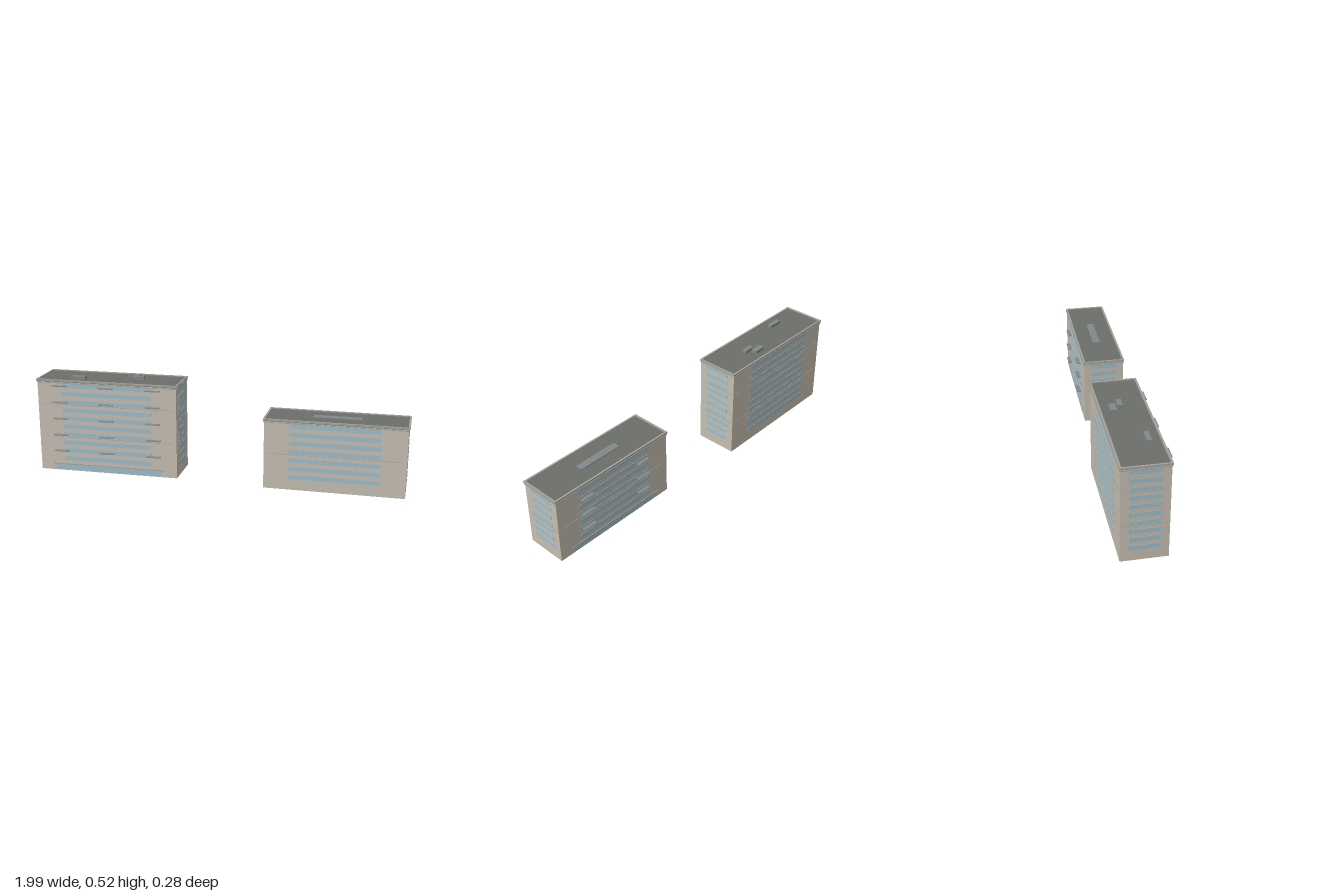
import * as THREE from 'three';

const mat = (color) => new THREE.MeshStandardMaterial({ color });
const WALL = mat(0xc6beb1), GLASS = mat(0x9dbecb), ROOF = mat(0x6c6e6a);
const TRIM = mat(0xa3a19b), SLAB = mat(0x85888a);
const FLOOR = 0.0455; // storey height

function box(parent, name, mat, w, h, d, x, y, z) {
  const mesh = new THREE.Mesh(new THREE.BoxGeometry(w, h, d), mat);
  mesh.name = name;
  mesh.position.set(x, y, z);
  parent.add(mesh);
  return mesh;
}

// Apartment block with its entrance facing local +z
function block({ name, w, d, h, floors, belts, columns, spread, balconyRows, units }) {
  const g = new THREE.Group();
  g.name = name;
  box(g, 'walls', WALL, w, h, d, 0, h / 2, 0);

  // Each facade: ribbon windows and thin belt courses
  for (let i = 0; i < 4; i++) {
    const [len, off] = i % 2 ? [d, w / 2] : [w, d / 2];
    const face = new THREE.Group();
    face.name = 'facade';
    face.rotation.y = i * Math.PI / 2;
    g.add(face);
    for (let f = 0; f < floors; f++)
      box(face, 'windowBand', GLASS, len * 0.64, 0.023, 0.003, 0, 0.071 + f * FLOOR, off);
    for (const y of belts)
      box(face, 'beltCourse', TRIM, len * 0.94, 0.002, 0.005, 0, y, off);
  }

  // Ground-floor glazing and canopy
  box(g, 'entranceGlazing', GLASS, w * 0.777, 0.031, 0.003, 0, 0.0195, d / 2);
  box(g, 'entranceCanopy', TRIM, w * 0.82, 0.004, 0.008, 0, 0.037, d / 2);

  // Balcony slabs on every second storey
  for (let r = 0; r < balconyRows; r++)
    for (let c = 0; c < columns; c++)
      box(g, 'balcony', SLAB, 0.08, 0.003, 0.024,
        (c - (columns - 1) / 2) * spread, 0.115 + r * 2 * FLOOR, d / 2 + 0.011);

  // Cornice, roof deck and parapet rim
  box(g, 'cornice', TRIM, w + 0.007, 0.004, d + 0.007, 0, h - 0.005, 0);
  box(g, 'roofDeck', ROOF, w + 0.002, 0.007, d + 0.002, 0, h + 0.0035, 0);
  const W = w + 0.012, D = d + 0.009, t = 0.01;
  for (const s of [-1, 1]) {
    box(g, 'parapet', TRIM, W, 0.009, t, 0, h + 0.0075, s * (D - t) / 2);
    box(g, 'parapet', TRIM, t, 0.009, D - 2 * t, s * (W - t) / 2, h + 0.0075, 0);
  }

  // Rooftop plant boxes
  for (const [x, z, uw, ud, top] of units)
    box(g, 'rooftopUnit', SLAB, uw, top, ud, x, h + top / 2, z);
  return g;
}

export function createModel() {
  const model = new THREE.Group();
  model.name = 'apartmentBlocks';

  const tall = block({
    name: 'tallBlock', w: 0.774, d: 0.23, h: 0.499, floors: 10, belts: [0.192, 0.375],
    columns: 3, spread: 0.26, balconyRows: 5,
    units: [[-0.172, 0.053, 0.08, 0.024, 0.024], [0.11, -0.053, 0.065, 0.032, 0.024],
      [0.147, -0.014, 0.06, 0.025, 0.024]],
  });
  tall.position.set(-0.603, 0, -0.015);
  tall.rotation.y = 0.006;

  const low = block({
    name: 'lowBlock', w: 0.73, d: 0.219, h: 0.364, floors: 7, belts: [0.192],
    columns: 2, spread: 0.37, balconyRows: 3,
    units: [[0, 0.002, 0.25, 0.04, 0.0115]],
  });
  low.position.set(0.626, 0, 0.0225);
  low.rotation.y = Math.PI - 0.006; // entrance side faces the rear

  model.add(tall, low);
  return model;
}
